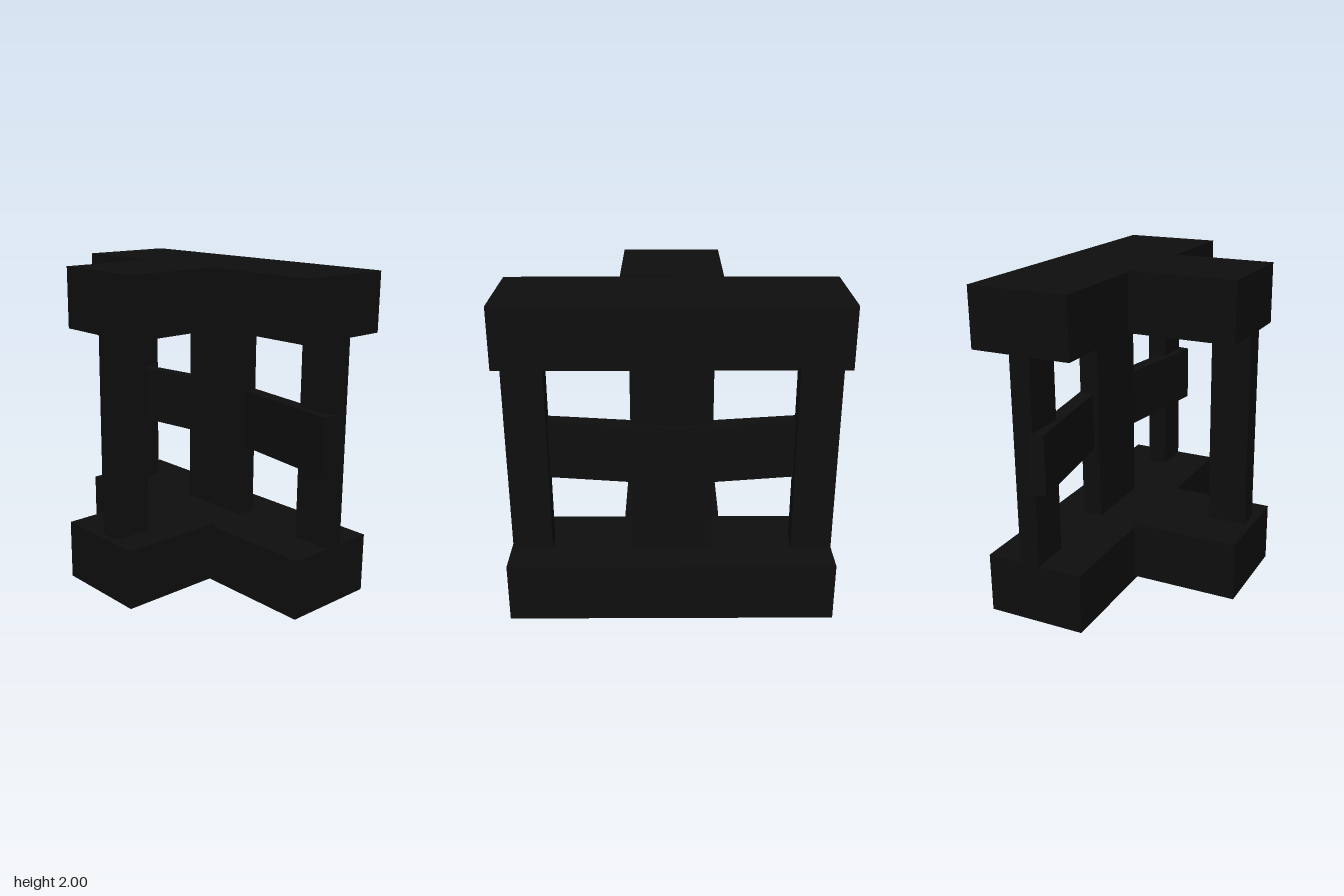
import * as THREE from 'three';

export function createModel() {
  const model = new THREE.Group();
  const black = new THREE.MeshStandardMaterial({ color: 0x0e0e0e });
  black.name = 'black';

  // Block given by its limits on each axis
  const block = (name, [x0, x1], [y0, y1], [z0, z1]) => {
    const mesh = new THREE.Mesh(new THREE.BoxGeometry(x1 - x0, y1 - y0, z1 - z0), black);
    mesh.position.set((x0 + x1) / 2, (y0 + y1) / 2, (z0 + z1) / 2);
    mesh.name = name;
    model.add(mesh);
  };

  // T-shaped base and top, each a wide beam with a front arm
  block('baseBeam', [-0.99, 0.99], [0, 0.37], [-0.635, -0.02]);
  block('baseArm', [-0.31, 0.30], [0.03, 0.40], [-0.015, 0.66]);
  block('topBeam', [-0.99, 0.985], [1.63, 1.99], [-0.66, -0.04]);
  block('topArm', [-0.31, 0.30], [1.632, 2], [-0.045, 0.625]);

  // Upright posts
  const posts = { rightPost: [-0.99, -0.74], centerPost: [-0.245, 0.24], leftPost: [0.735, 0.98] };
  for (const [name, span] of Object.entries(posts)) block(name, span, [0.36, 1.64], [-0.415, -0.29]);
  block('frontPost', [-0.02, 0.115], [0.39, 1.64], [0.37, 0.615]);

  // Middle crossbar, bent backwards at the centre (drawn in plan as x, -z)
  const plan = new THREE.Shape(
    [[-0.987, 0.22], [-1, 0.315], [-0.02, 0.455], [1, 0.315], [0.987, 0.22], [-0.02, 0.36]]
      .map(([x, y]) => new THREE.Vector2(x, y)));
  const barGeometry = new THREE.ExtrudeGeometry(plan, { depth: 0.365, bevelEnabled: false });
  barGeometry.rotateX(-Math.PI / 2);
  const bar = new THREE.Mesh(barGeometry, black);
  bar.position.y = 0.83;
  bar.name = 'crossbar';
  model.add(bar);

  return model;
}
